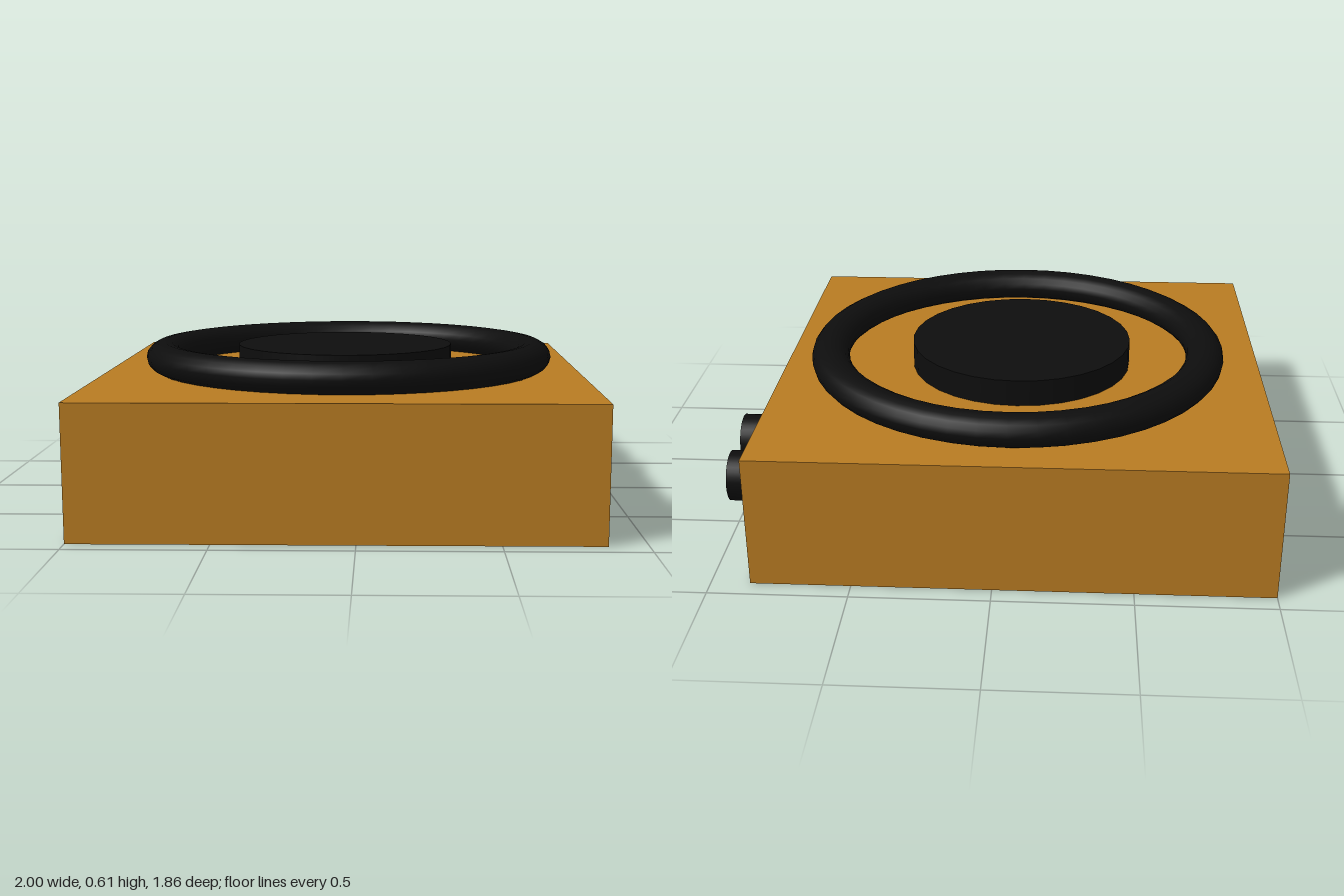
import * as THREE from 'three';

export function createModel() {
  const model = new THREE.Group();
  const wood = new THREE.MeshStandardMaterial({ color: 0xb87b22 });
  const black = new THREE.MeshStandardMaterial({ color: 0x0d0d0d });

  const add = (name, geometry, material, x, y, z) => {
    const mesh = new THREE.Mesh(geometry, material);
    mesh.name = name;
    mesh.position.set(x, y, z);
    model.add(mesh);
    return mesh;
  };

  // Square body, offset so the side knobs complete the width
  add('body', new THREE.BoxGeometry(1.86, 0.49, 1.86), wood, -0.07, 0.245, 0);

  // Slightly flattened ring resting on the top
  const ringGeometry = new THREE.TorusGeometry(0.735, 0.073, 16, 48);
  ringGeometry.rotateX(Math.PI / 2);
  ringGeometry.scale(1, 0.82, 1.008);
  add('ring', ringGeometry, black, -0.05, 0.547, -0.02);

  // Raised disc inside the ring
  add('burnerDisc', new THREE.CylinderGeometry(0.427, 0.427, 0.1, 32), black, -0.065, 0.54, -0.015);

  // Two control knobs on the left side; the front one stands slightly proud
  const knobGeometry = new THREE.CylinderGeometry(0.093, 0.093, 0.12, 32);
  knobGeometry.rotateZ(-Math.PI / 2);
  add('frontKnob', knobGeometry, black, 0.94, 0.258, -0.295);
  add('rearKnob', knobGeometry, black, 0.92, 0.258, -0.605);

  return model;
}
